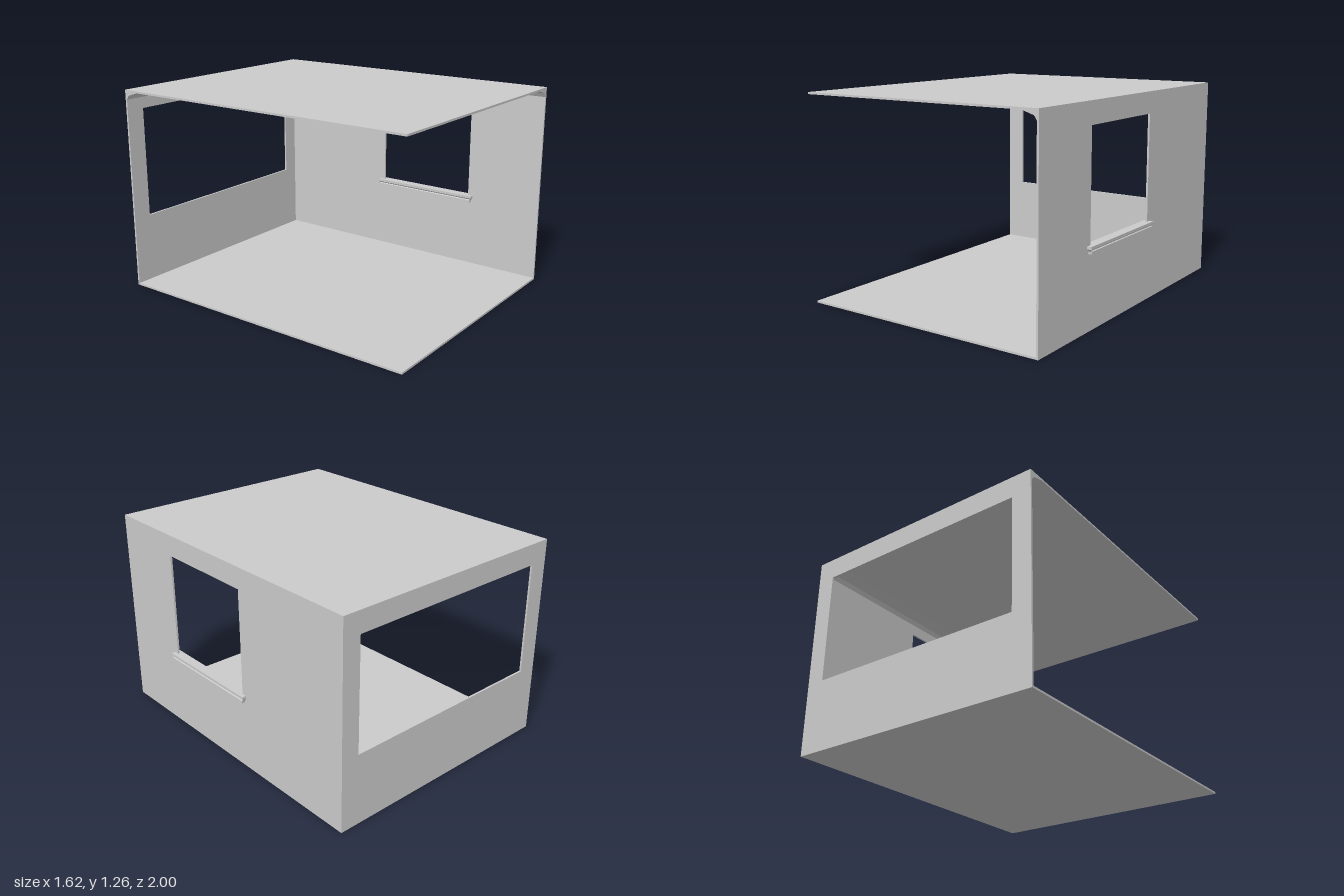
import * as THREE from 'three';

const T = 0.012; // shell thickness
const X0 = -0.81, X1 = 0.78, H = 1.26;

// Rectangular panel in the xy plane with one rectangular opening
function panel(x0, x1, y0, y1, hx0, hx1, hy0, hy1) {
  const corners = (a, b, c, d) => [[a, c], [b, c], [b, d], [a, d]].map(p => new THREE.Vector2(...p));
  const shape = new THREE.Shape(corners(x0, x1, y0, y1));
  shape.holes.push(new THREE.Path(corners(hx0, hx1, hy0, hy1).reverse()));
  return new THREE.ExtrudeGeometry(shape, { depth: T, bevelEnabled: false });
}

// Capped, flat-faced loft through equal-sized rings of points
function loft(rings) {
  const pos = [], n = rings[0].length;
  const tri = (a, b, c) => pos.push(...a, ...b, ...c);
  const last = rings[rings.length - 1];
  for (let r = 0; r + 1 < rings.length; r++) {
    for (let i = 0; i < n; i++) {
      const j = (i + 1) % n, a = rings[r], b = rings[r + 1];
      tri(a[i], b[i], b[j]);
      tri(a[i], b[j], a[j]);
    }
  }
  for (let i = 1; i + 1 < n; i++) {
    tri(rings[0][0], rings[0][i], rings[0][i + 1]);
    tri(last[0], last[i + 1], last[i]);
  }
  const g = new THREE.BufferGeometry();
  g.setAttribute('position', new THREE.Float32BufferAttribute(pos, 3));
  g.computeVertexNormals();
  return g;
}

export function createModel() {
  const group = new THREE.Group();
  const mat = new THREE.MeshStandardMaterial({ color: 0xcccccc, flatShading: true });
  const add = (name, geometry) => {
    const mesh = new THREE.Mesh(geometry, mat);
    mesh.name = name;
    group.add(mesh);
  };

  // Floor and ceiling slabs
  for (const [name, y] of [['floor', T / 2], ['ceiling', H - T / 2]]) {
    add(name, new THREE.BoxGeometry(X1 - X0, T, 2).translate((X0 + X1) / 2, y, 0));
  }

  // Back wall with wide opening, side wall with smaller window
  add('backWall', panel(X0, X1, T, H - T, -0.69, 0.665, 0.44, 1.13).translate(0, 0, -1));
  add('sideWall', panel(-1, 1 - T, T, H - T, -0.5, 0.165, 0.44, 1.13)
    .rotateY(Math.PI / 2).translate(X1 - T, 0, 0));

  // Cove cornice along both walls, mitred in the corner: [distance from wall, height]
  const cove = [[0, H - T], [0, 1.2], [0.016, 1.225], [0.09, H - T]];
  add('cornice', loft([
    cove.map(([d, y]) => [X0, y, -1 + T + d]),
    cove.map(([d, y]) => [X1 - T - d, y, -1 + T + d]),
    cove.map(([d, y]) => [X1 - T - d, y, 1]),
  ]));

  // Window sill with a shallow groove below its top board: [height, x inset, z inset]
  const sill = [[0.44, 0.003, 0.012], [0.456, 0.003, 0.01], [0.461, 0.008, 0.006],
    [0.466, 0.003, 0.002], [0.469, 0, 0], [0.485, 0, 0]];
  add('windowSill', loft(sill.map(([y, dx, dz]) => {
    const a = 0.745 + dx, b = 0.806 - dx, c = -0.198 + dz, d = 0.533 - dz;
    return [[a, y, c], [b, y, c], [b, y, d], [a, y, d]];
  })));

  return group;
}
